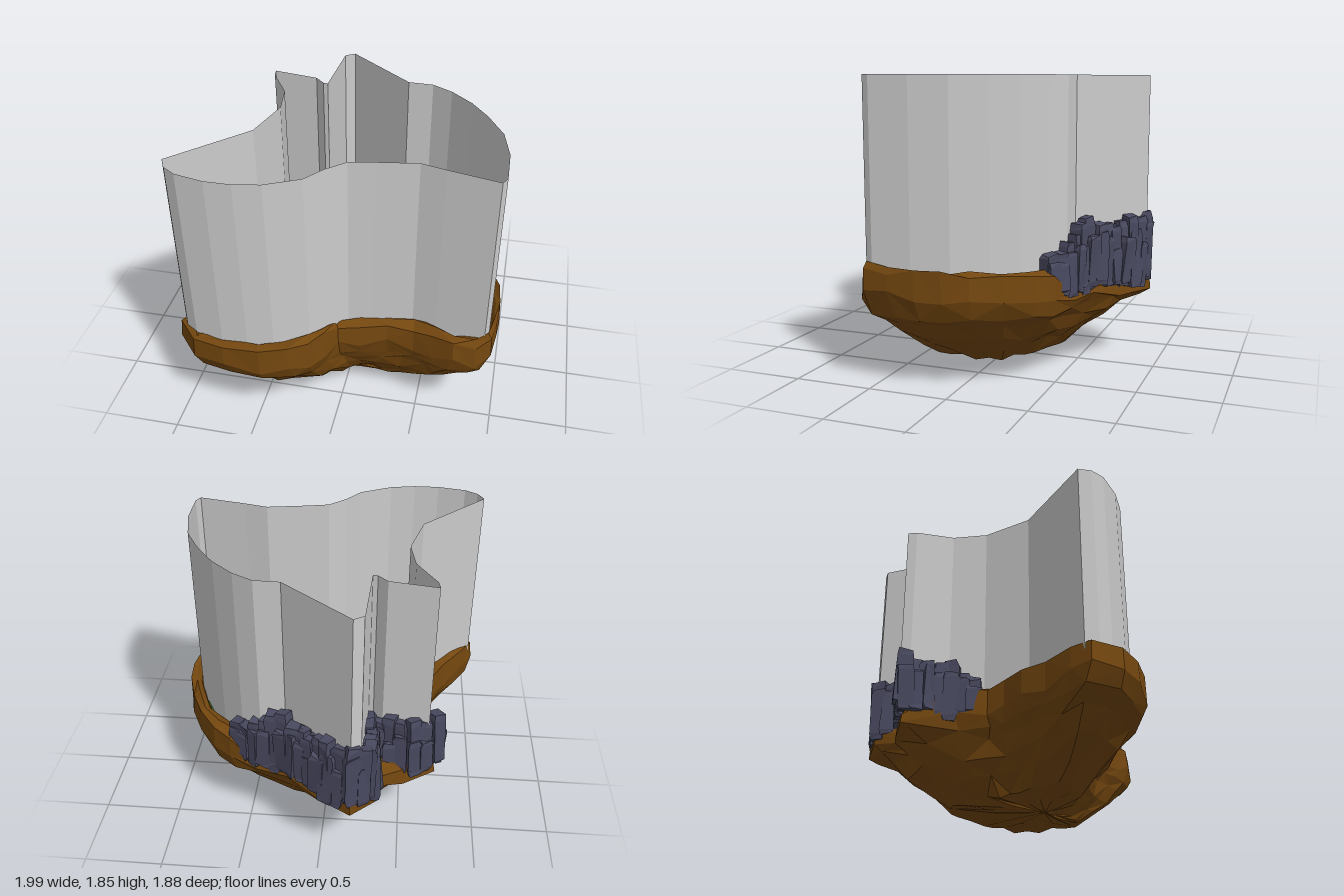
import * as THREE from 'three';
import { mergeGeometries } from 'three/addons/utils/BufferGeometryUtils.js';

const mat = (color, flatShading = true) =>
  new THREE.MeshStandardMaterial({ color, flatShading, side: THREE.DoubleSide });
const rockMat = mat(0x74470f), grassMat = mat(0x3a7222), stoneMat = mat(0x494960);
const pondMat = mat(0x78d4de), wallMat = mat(0xcccccc);

let seed = 7;
const rand = () => (seed = (seed * 16807) % 2147483647) / 2147483647;
const jit = (a) => (rand() * 2 - 1) * a;

// island edge and grass edge, matching [x, z] points
const OUTER = [[-.2, -.93], [.02, -.78], [.22, -.66], [.42, -.6], [.6, -.53], [.72, -.45], [.84, -.3], [.93, -.12],
  [.97, .04], [.99, .2], [.98, .38], [.96, .55], [.87, .61], [.73, .62], [.6, .57], [.47, .52], [.3, .52], [.13, .56],
  [0, .59], [-.06, .69], [-.14, .8], [-.25, .88], [-.42, .93], [-.65, .93], [-.86, .88], [-1, .73], [-.93, .6],
  [-.8, .42], [-.72, .26], [-.6, .12], [-.55, 0], [-.58, -.2], [-.72, -.48], [-.52, -.6], [-.39, -.66], [-.36, -.82]];
const INNER = [[-.2, -.85], [0, -.7], [.2, -.57], [.4, -.5], [.56, -.36], [.66, -.31], [.76, -.22], [.83, -.08],
  [.88, .07], [.91, .22], [.92, .38], [.91, .53], [.84, .5], [.72, .48], [.6, .42], [.46, .38], [.3, .4], [.12, .45],
  [-.04, .53], [-.13, .62], [-.22, .7], [-.32, .76], [-.45, .81], [-.65, .83], [-.79, .83], [-.82, .73], [-.75, .6],
  [-.65, .48], [-.58, .3], [-.5, .14], [-.46, 0], [-.5, -.18], [-.62, -.45], [-.5, -.48], [-.32, -.5], [-.28, -.78]];

// averages each point of a ring with its neighbours
const soften = (pts) => pts.map((p, i) => {
  const a = pts.at(i - 1), b = pts[(i + 1) % pts.length];
  return p.map((v, k) => (a[k] + 2 * v + b[k]) / 4);
});
const SOFT = soften(OUTER), SOFTER = soften(soften(SOFT));

const shapeOf = (pts) => new THREE.Shape(pts.map(([x, z]) => new THREE.Vector2(x, -z)));

function add(group, name, geometry, material) {
  const mesh = new THREE.Mesh(geometry, material);
  mesh.name = name;
  group.add(mesh);
}

function flatGeo(pts, y) {
  return new THREE.ShapeGeometry(shapeOf(pts)).rotateX(-Math.PI / 2).translate(0, y, 0);
}

function slabGeo(pts, y0, y1) {
  return new THREE.ExtrudeGeometry(shapeOf(pts), { depth: y1 - y0, bevelEnabled: false })
    .rotateX(-Math.PI / 2).translate(0, y0, 0);
}

// joins closed rings of [x, y, z] points
function loft(rings) {
  const n = rings[0].length, idx = [];
  for (let r = 0; r < rings.length - 1; r++) {
    for (let i = 0; i < n; i++) {
      const a = r * n + i, b = r * n + (i + 1) % n, c = a + n, d = b + n;
      if ((i + r) % 2) idx.push(a, b, c, b, d, c);
      else idx.push(a, b, d, a, d, c);
    }
  }
  const g = new THREE.BufferGeometry();
  g.setAttribute('position', new THREE.Float32BufferAttribute(rings.flat(2), 3));
  g.setIndex(idx);
  g.computeVertexNormals();
  return g;
}

// raised rim, rounded flank and tapering underside
function rockGeo() {
  const isBack = (i) => i < 4 || i > 31;
  const lift = (i) => (i > 5 && i < 12 ? .035 : 0);
  const blend = (t, y, yBack, j, side) => OUTER.map(([x, z], i) => {
    const [u, v] = INNER[i], k = t + jit(side);
    return [u + (x - u) * k, (isBack(i) ? yBack : y + lift(i) * t) + jit(j), v + (z - v) * k];
  });
  const scaled = (ring, s, y, j, cx = 0, cz = .05) => ring.map(([x, z]) =>
    [cx + (x - cx) * s + jit(j), y + jit(j), cz + (z - cz) * s + jit(j)]);
  const apex = OUTER.map(() => [-.2, .0, .25]);
  const rim = blend(.5, .71, .56, .02, .12);
  rim[11][1] = .76;
  rim[33][1] = rim[34][1] = .64;
  return loft([blend(0, .62, .6, 0, 0), blend(.18, .69, .59, .02, .1), rim, blend(.92, .685, .54, .025, .06),
    blend(1, .54, .485, .04, 0), scaled(OUTER, .95, .44, .015), scaled(SOFT, .88, .38, .02),
    scaled(SOFTER, .8, .28, .02), scaled(SOFTER, .65, .19, .02), scaled(SOFTER, .51, .09, .018),
    scaled(SOFTER, .25, .045, .01, -.12, .15), apex]);
}

// one rough stone: a box with narrowed ends and loosened corners
function stoneGeo(x, z, angle, w, d, y0, y1) {
  const h = y1 - y0, g = new THREE.BoxGeometry(w, h, d, 1, 3, 1);
  const p = g.attributes.position, moved = new Map();
  for (let i = 0; i < p.count; i++) {
    const y = p.getY(i), end = Math.abs(y) > h * .4;
    const key = [p.getX(i), y, p.getZ(i)].map((v) => v.toFixed(3)).join();
    if (!moved.has(key)) moved.set(key, [jit(.007), jit(.01), jit(.007)]);
    const m = moved.get(key), k = end ? .82 : 1;
    p.setXYZ(i, p.getX(i) * k + m[0], (end ? y : y * 2.4) + m[1], p.getZ(i) * k + m[2]);
  }
  return g.rotateZ(jit(.06)).rotateX(jit(.06)).rotateY(angle + jit(.25)).translate(x, (y0 + y1) / 2, z);
}

// piles of stones along a path
function stoneRow(path, bottom, top, startTop = top) {
  const curve = new THREE.CurvePath();
  for (let i = 0; i < path.length - 1; i++) {
    curve.add(new THREE.LineCurve(new THREE.Vector2(...path[i]), new THREE.Vector2(...path[i + 1])));
  }
  const count = Math.round(curve.getLength() / .072), parts = [];
  for (let i = 0; i <= count; i++) {
    const t = i / count, p = curve.getPointAt(t), q = curve.getTangentAt(Math.min(t, .999));
    const angle = -Math.atan2(q.y, q.x);
    const h = top + (startTop - top) * Math.max(0, 1 - t * 4);
    parts.push(stoneGeo(p.x + jit(.012), p.y + jit(.012), angle, .08 + rand() * .025, .08,
      bottom + .05 + jit(.04), h + jit(.045)));
    for (const side of [-1, 1]) {
      const o = side * (.027 + rand() * .014);
      parts.push(stoneGeo(p.x - q.y * o, p.y + q.x * o, angle, .075 + rand() * .03, .05,
        bottom + rand() * .06, bottom + (h - bottom) * (.6 + rand() * .35)));
    }
  }
  return mergeGeometries(parts);
}

// sloped quad between an upper and a lower edge
function rampGeo(upper, y1, lower, y0) {
  const [a, b] = upper, [c, d] = lower, g = new THREE.BufferGeometry();
  g.setAttribute('position', new THREE.Float32BufferAttribute(
    [a[0], y1, a[1], b[0], y1, b[1], c[0], y0, c[1], d[0], y0, d[1]], 3));
  g.setIndex([0, 2, 1, 1, 2, 3]);
  g.computeVertexNormals();
  return g;
}

export function createModel() {
  const model = new THREE.Group();
  model.name = 'floatingIsland';

  add(model, 'rock', rockGeo(), rockMat);
  add(model, 'grass', flatGeo(INNER, .63), grassMat);

  // raised ground with ramps
  const capSide = [grassMat, rockMat];
  add(model, 'highPlateau', slabGeo([[-.19, -.87], [0, -.75], [.2, -.62], [.31, -.53], [.22, -.3], [.4, -.2],
    [.38, -.05], [.1, 0], [-.2, .02], [-.28, -.2], [-.3, -.45], [-.28, -.8]], .55, .8), capSide);
  add(model, 'lowPlateau', slabGeo([[-.49, -.05], [-.55, -.25], [-.66, -.46], [-.55, -.51], [-.32, -.5],
    [-.29, -.2], [-.24, 0]], .55, .75), capSide);
  add(model, 'highRamp', rampGeo([[.22, -.3], [.31, -.53]], .8, [[.4, -.22], [.57, -.36]], .635), grassMat);
  add(model, 'lowRamp', rampGeo([[-.49, -.05], [-.24, 0]], .75, [[-.4, .17], [-.3, .12]], .635), grassMat);

  add(model, 'pond', slabGeo([[-.33, .1], [-.32, .17], [-.18, .2], [-.06, .14], [-.01, .04], [-.2, .04]], .62, .645), pondMat);

  // stone cliffs around the raised ground
  add(model, 'outerCliff', stoneRow([[.54, -.47], [.4, -.55], [.26, -.6], [.1, -.7], [0, -.78], [-.18, -.88],
    [-.32, -.82], [-.3, -.6]], .5, .95, .78), stoneMat);
  add(model, 'innerCliff', stoneRow([[-.3, -.6], [-.29, -.2], [-.23, .02], [-.3, .09]], .58, .88), stoneMat);
  add(model, 'frontCliff', stoneRow([[-.26, .06], [-.1, 0], [.1, 0], [.28, -.02], [.38, -.07], [.38, -.18]], .58, .85), stoneMat);
  add(model, 'sideCliff', stoneRow([[-.5, -.1], [-.56, -.3], [-.7, -.48], [-.55, -.54], [-.35, -.51]], .5, .9, .78), stoneMat);

  // tall open wall around the island
  const wall = [[-.2, -.9], [.23, -.54], [.39, -.535], [.52, -.46], [.66, -.33], [.77, -.18], [.88, .02], [.93, .25],
    [.935, .5], [.91, .55], [.6, .48], [.45, .44], [.2, .48], [.05, .51], [-.06, .61], [-.15, .73], [-.35, .83],
    [-.51, .86], [-.67, .86], [-.85, .82], [-.93, .765], [-.97, .69], [-.57, .27], [-.49, -.04], [-.525, -.26],
    [-.65, -.47], [-.66, -.53], [-.37, -.48], [-.31, -.42], [-.28, -.415], [-.26, -.86]];
  add(model, 'boundaryWall', loft([1.85, .55].map((y) => wall.map(([x, z]) => [x, y, z]))), wallMat);

  return model;
}
